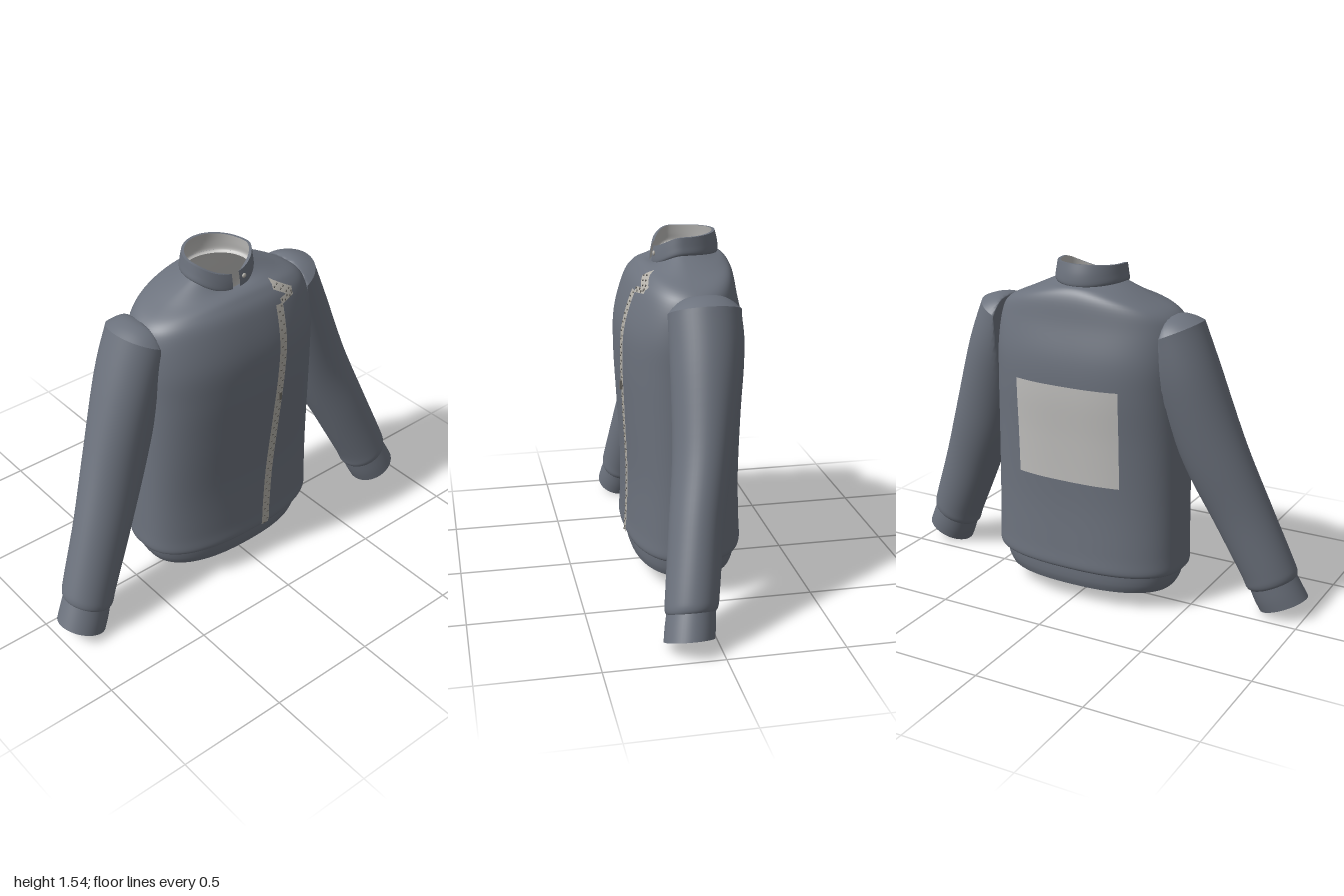
import * as THREE from 'three';
import { mergeGeometries } from 'three/addons/utils/BufferGeometryUtils.js';

const cloth = new THREE.MeshStandardMaterial({ color: 0x6c727d });
cloth.name = 'slate cloth';
const lining = new THREE.MeshStandardMaterial({ color: 0xc0bfbd });
lining.name = 'pale lining';
const tape = new THREE.MeshStandardMaterial({ color: 0xb2afa8, side: THREE.DoubleSide });
tape.name = 'zip tape';
const metal = new THREE.MeshStandardMaterial({ color: 0x6f6c66 });
metal.name = 'zip metal';

// Surface through a grid of points; point(u, v) with u around and v along
function surface(nu, nv, point, { closed = false, flip = false } = {}) {
  const pos = [], index = [], cols = closed ? nu : nu + 1;
  for (let j = 0; j <= nv; j++)
    for (let i = 0; i < cols; i++) pos.push(...point(i / nu, j / nv));
  for (let j = 0; j < nv; j++)
    for (let i = 0; i < nu; i++) {
      const a = j * cols + i, b = j * cols + (i + 1) % cols, c = a + cols, d = b + cols;
      if (flip) index.push(a, b, c, b, d, c);
      else index.push(a, c, b, b, c, d);
    }
  const g = new THREE.BufferGeometry();
  g.setAttribute('position', new THREE.Float32BufferAttribute(pos, 3));
  g.setIndex(index);
  g.computeVertexNormals();
  return g;
}

// Smooth interpolation between rows of cross-section numbers
function sampleRows(rows, t) {
  const f = t * (rows.length - 1), k = Math.min(Math.floor(f), rows.length - 2), s = f - k;
  const at = (n) => rows[Math.max(0, Math.min(rows.length - 1, n))];
  return rows[0].map((_, c) => {
    const [a, b, d, e] = [at(k - 1)[c], at(k)[c], at(k + 1)[c], at(k + 2)[c]];
    const m0 = (d - a) / 2, m1 = (e - b) / 2;
    return b + m0 * s + (3 * (d - b) - 2 * m0 - m1) * s * s + (2 * (b - d) + m0 + m1) * s * s * s;
  });
}

const power = (v, p) => Math.sign(v) * Math.abs(v) ** p;

// Torso-like ring: [half width, front z, back z, front y, side y, back y, squareness]
function ringPoint(row, angle, inset = 0) {
  const [w, zf, zb, yf, ys, yb, n] = row, c = Math.cos(angle), s = Math.sin(angle);
  const yEnd = s > 0 ? yf : yb;
  return [
    power(c, 2 / n) * (w - inset),
    yEnd + (ys - yEnd) * c * c,
    power(s, 2 / n) * ((s > 0 ? zf : zb) - inset),
  ];
}

const bodyRows = [
  [0.445, 0.235, 0.245, 0.175, 0.175, 0.175, 2.5],
  [0.462, 0.25, 0.26, 0.195, 0.195, 0.195, 2.5],
  [0.462, 0.245, 0.256, 0.28, 0.28, 0.28, 2.5],
  [0.46, 0.242, 0.25, 0.5, 0.5, 0.5, 2.5],
  [0.455, 0.257, 0.26, 0.78, 0.78, 0.78, 2.5],
  [0.45, 0.268, 0.274, 1.0, 1.0, 1.0, 2.5],
  [0.448, 0.262, 0.27, 1.17, 1.16, 1.15, 2.5],
  [0.435, 0.218, 0.24, 1.33, 1.29, 1.3, 2.4],
  [0.395, 0.175, 0.222, 1.395, 1.355, 1.405, 2.3],
  [0.28, 0.14, 0.198, 1.418, 1.41, 1.448, 2.1],
  [0.15, 0.1, 0.165, 1.42, 1.47, 1.46, 2],
];
const bandRows = [
  [0.405, 0.215, 0.225, 0.09, 0.09, 0.09, 2.4],
  [0.425, 0.225, 0.237, 0.13, 0.13, 0.13, 2.4],
  [0.44, 0.23, 0.24, 0.2, 0.2, 0.2, 2.4],
];
const collarRows = [
  [0.152, 0.1, 0.168, 1.405, 1.462, 1.45, 2],
  [0.164, 0.114, 0.18, 1.412, 1.474, 1.462, 2],
  [0.16, 0.112, 0.177, 1.45, 1.505, 1.505, 2],
  [0.155, 0.104, 0.166, 1.488, 1.543, 1.55, 2],
];
// Sleeve ring, cuff end first: [x, y, z, half width, half depth]
const sleeveRows = [
  [0.848, 0.15, 0.113, 0.104, 0.098],
  [0.84, 0.17, 0.11, 0.12, 0.109],
  [0.815, 0.235, 0.1, 0.123, 0.111],
  [0.71, 0.47, 0.062, 0.134, 0.114],
  [0.59, 0.75, 0.01, 0.147, 0.126],
  [0.475, 1.08, -0.028, 0.145, 0.15],
  [0.4, 1.28, -0.036, 0.14, 0.155],
];
const capRows = [
  [0.4, 1.28, -0.036, 0.14, 0.155],
  [0.388, 1.31, -0.036, 0.105, 0.125],
  [0.378, 1.335, -0.036, 0.06, 0.08],
  [0.372, 1.345, -0.036, 0, 0],
];
const cuffRows = [
  [0.895, 0.055, 0.13, 0.113, 0.104],
  [0.87, 0.105, 0.121, 0.113, 0.104],
  [0.843, 0.165, 0.111, 0.11, 0.1],
];

function sleevePoint(row, angle, side, inset = 0) {
  const [x, y, z, w, d] = row;
  const a = Math.cos(angle) * (w - inset), b = Math.sin(angle) * (d - inset);
  return [side * Math.max(0.405, x + a * 0.925), y + a * 0.4, z + b];
}

export function createModel() {
  const jacket = new THREE.Group();
  jacket.name = 'jacket';
  const add = (name, geometry, material, parent = jacket) => {
    const mesh = new THREE.Mesh(geometry, material);
    mesh.name = name;
    parent.add(mesh);
    return mesh;
  };
  const TAU = Math.PI * 2;

  // Torso and waistband, each with a lining facing inward
  const shell = (name, rows, nv) => {
    const make = (inset, flip) => surface(96, nv,
      (u, v) => ringPoint(sampleRows(rows, v), u * TAU, inset), { closed: true, flip });
    add(name + 'Lining', make(0.004, true), lining);
    return add(name, make(0, false), cloth);
  };
  const body = shell('body', bodyRows, 60);
  shell('waistband', bandRows, 6);

  // Stand collar, open at the front
  const gap = 0.12;
  const collarAngle = (u) => Math.PI / 2 + gap + u * (TAU - 2 * gap);
  const collarInset = (u) => 0.012 * Math.min(1, 20 * u, 20 * (1 - u));
  const top = collarRows[collarRows.length - 1];
  add('collar', surface(72, 12, (u, v) => ringPoint(sampleRows(collarRows, v), collarAngle(u))), cloth);
  add('collarRim', surface(72, 1, (u, v) => ringPoint(top, collarAngle(u), v * collarInset(u))), cloth);
  add('collarLining', surface(72, 12,
    (u, v) => ringPoint(sampleRows(collarRows, v), collarAngle(u), collarInset(u)), { flip: true }), lining);
  const snap = add('collarSnap', new THREE.SphereGeometry(0.011, 12, 8), tape);
  snap.position.set(0.045, 1.46, 0.108);
  snap.scale.z = 0.6;

  // Sleeves with shoulder caps and cuffs
  for (const side of [1, -1]) {
    const arm = new THREE.Group();
    arm.name = side > 0 ? 'leftSleeve' : 'rightSleeve';
    jacket.add(arm);
    const tube = (rows, nv, inset = 0) => surface(48, nv,
      (u, v) => sleevePoint(sampleRows(rows, v), u * TAU, side, inset),
      { closed: true, flip: (side < 0) !== (inset > 0) });
    add('sleeve', tube(sleeveRows, 36), cloth, arm);
    add('shoulderCap', tube(capRows, 9), cloth, arm);
    add('cuff', tube(cuffRows, 6), cloth, arm);
    add('cuffLining', tube(cuffRows, 6, 0.004), lining, arm);
    add('sleeveLining', tube(sleeveRows, 36, 0.005), lining, arm);
  }

  // Lay flat details on the torso, seen from the front (1) or back (-1)
  body.updateMatrixWorld();
  const ray = new THREE.Raycaster();
  const drape = (x, y, facing, lift) => {
    ray.set(new THREE.Vector3(x, y, 2 * facing), new THREE.Vector3(0, 0, -facing));
    const hit = ray.intersectObject(body)[0];
    return [x, y, (hit ? hit.point.z : 0.1 * facing) + lift * facing];
  };

  // Square back panel
  add('backPanel', surface(16, 16,
    (u, v) => drape(-0.25 + 0.5 * u, 0.6 + 0.44 * v, -1, 0.004)), lining);

  // Slanted front zip and its folded-over upper end
  const zips = [
    { name: 'frontZip', from: [0.068, 0.185], to: [0.152, 1.33], half: 0.021, teeth: 60 },
    { name: 'foldedZipLower', from: [0.165, 1.335], to: [0.25, 1.345], half: 0.012, teeth: 5 },
    { name: 'foldedZipUpper', from: [0.25, 1.345], to: [0.155, 1.4], half: 0.016, teeth: 7 },
  ];
  for (const { name, from, to, half, teeth } of zips) {
    const dx = to[0] - from[0], dy = to[1] - from[1], len = Math.hypot(dx, dy);
    const place = (across, t, lift) => drape(
      from[0] + dx * t + across * dy / len, from[1] + dy * t - across * dx / len, 1, lift);
    add(name, surface(2, Math.ceil(len * 40) + 2,
      (u, v) => place((u * 2 - 1) * half, v, 0.006)), tape);
    const bits = [];
    for (let i = 0; i < teeth; i++) {
      const bit = new THREE.BoxGeometry(0.01, 0.005, 0.005);
      bit.rotateZ(Math.atan2(dy, dx) - Math.PI / 2);
      bit.translate(...place((i % 2 ? 0.4 : -0.4) * half, (i + 0.5) / teeth, 0.007));
      bits.push(bit);
    }
    add(name + 'Teeth', mergeGeometries(bits), metal);
  }
  const pull = add('zipPull', new THREE.BoxGeometry(0.014, 0.04, 0.012), metal);
  pull.position.set(...drape(0.12, 0.9, 1, 0.01));

  return jacket;
}
